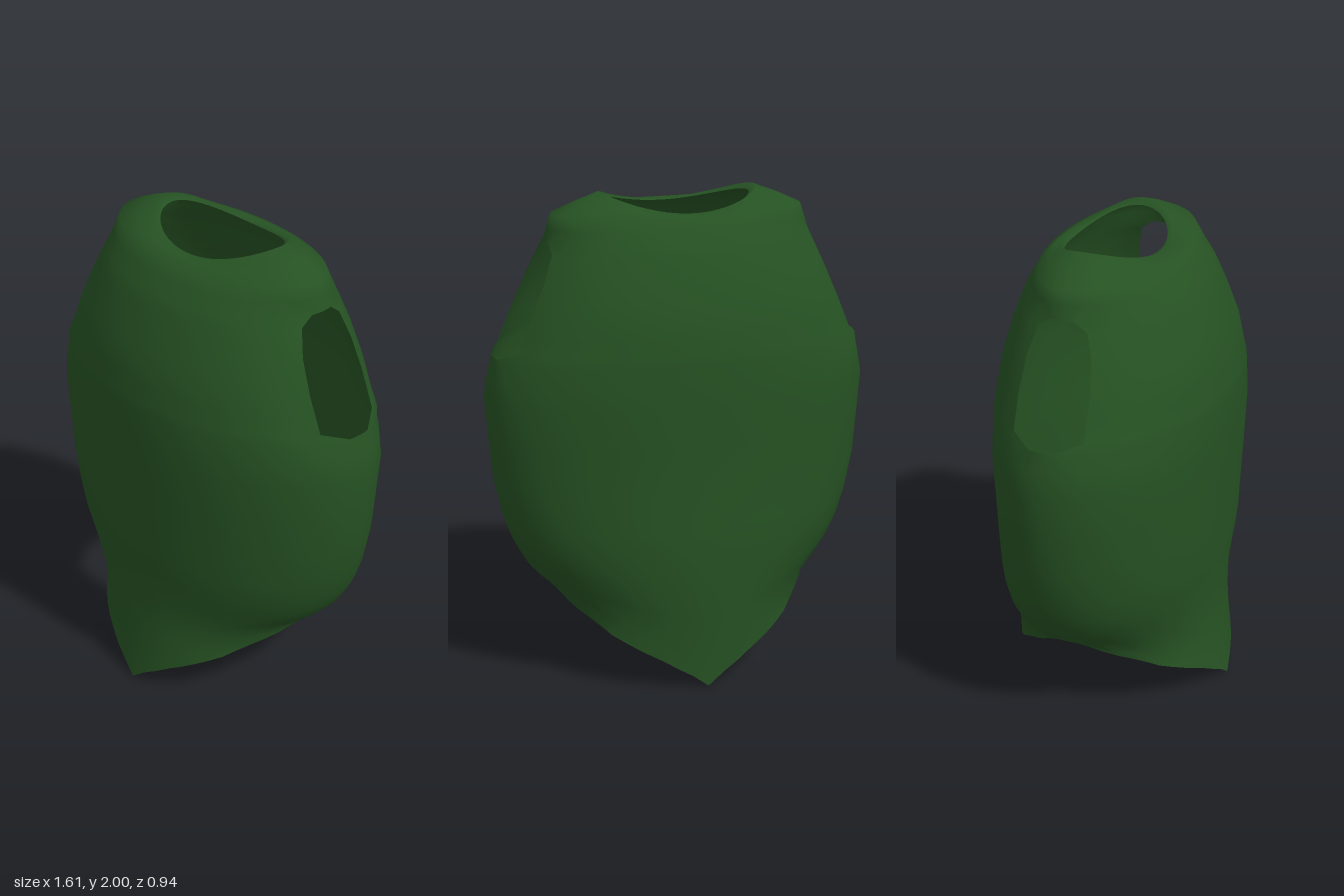
import * as THREE from 'three';

const MID_Z = -0.05; // depth of the side seams
const K = 14; // columns per quarter turn
const H = 3; // columns from the side seam to the armhole edge

// [height, half width, front depth, back depth] measured from the side seams
const body = [
  [0, 0.6, 0.52, 0.38], [0.13, 0.55, 0.5, 0.385], [0.28, 0.52, 0.485, 0.395], [0.39, 0.555, 0.475, 0.405],
  [0.47, 0.64, 0.47, 0.41], [0.58, 0.705, 0.485, 0.415], [0.7, 0.745, 0.495, 0.413], [0.86, 0.78, 0.498, 0.407],
  [1.03, 0.793, 0.505, 0.41], [1.2, 0.805, 0.51, 0.415], [1.375, 0.77, 0.505, 0.412], [1.41, 0.745, 0.5, 0.41],
  [1.55, 0.685, 0.477, 0.392], [1.68, 0.625, 0.43, 0.355], [1.78, 0.572, 0.388, 0.318],
  [1.815, 0.553, 0.368, 0.303], [1.92, 0.52, 0.29, 0.24],
];
// Hem height against the cosine of the angle from the side seam
const hem = [[0, 0], [0.09, 0.045], [0.34, 0.13], [0.72, 0.24], [0.82, 0.28], [0.94, 0.338], [1, 0.395]];
// Half width of the armhole against height
const armhole = [[1.3, 0.14], [1.375, 0.05], [1.41, 0.143], [1.55, 0.143], [1.68, 0.13], [1.78, 0.1], [1.815, 0.05], [1.87, 0.1]];
const ARM_LOW = 1.375, ARM_HIGH = 1.815;

// Linear look-up of column c in a table keyed by its first column
function look(table, key, c) {
  if (key <= table[0][0]) return table[0][c];
  for (let i = 1; i < table.length; i++) {
    const p = table[i - 1], q = table[i];
    if (key <= q[0]) return THREE.MathUtils.lerp(p[c], q[c], (key - p[0]) / (q[0] - p[0]));
  }
  return table[table.length - 1][c];
}

// Rows: hem to waist, then level rings, then the shoulder cap up to the neck
const rows = [];
for (const t of [0, 0.1, 0.25, 0.45, 0.7]) rows.push({ t });
for (const y of [0.6, 0.7, 0.86, 1.03, 1.2, 1.3, 1.375, 1.41, 1.48, 1.55, 1.62, 1.68, 1.74, 1.78, 1.815, 1.87, 1.92]) rows.push({ y });
rows.push({ ring: [0.425, 0.24, 0.215], base: 1.928, rise: 0.035 });
rows.push({ ring: [0.325, 0.205, 0.185], base: 1.928, rise: 0.072 });
rows.push({ ring: [0.295, 0.19, 0.175], base: 1.922, rise: 0.055 });

// Angle from the side seam; columns bend to follow the armhole edge
function columnAngle(step, y, depth, front) {
  const w = look(armhole, y, 1) * (front ? 1.07 : 0.93);
  const inHoleBand = y > 1.3 && y < 1.87;
  const edge = inHoleBand ? Math.asin(w / depth) : 0.31;
  return step <= H ? edge * step / H : edge + (Math.PI / 2 - edge) * (step - H) / (K - H);
}

function point(row, i) {
  const quarter = Math.floor(i / K), k = i % K;
  const step = quarter % 2 ? K - k : k;
  const sx = quarter === 0 || quarter === 3 ? 1 : -1;
  const front = quarter < 2;
  let y = row.y ?? 0.6, a, d, phi;
  if (row.ring) {
    a = row.ring[0];
    d = row.ring[front ? 1 : 2];
    phi = columnAngle(step, 2, d, front);
    y = row.base + row.rise * Math.cos(phi) ** 2;
  } else {
    phi = columnAngle(step, y, look(body, y, front ? 2 : 3), front);
    if (row.t !== undefined) y = THREE.MathUtils.lerp(look(hem, Math.cos(phi), 1), 0.6, row.t);
    a = look(body, y, 1);
    d = look(body, y, front ? 2 : 3);
  }
  return [sx * a * Math.cos(phi), y, MID_Z + (front ? 1 : -1) * d * Math.sin(phi)];
}

function vestGeometry() {
  const n = K * 4, positions = [], index = [];
  for (const row of rows) for (let i = 0; i < n; i++) positions.push(...point(row, i));
  for (let j = 0; j < rows.length - 1; j++) {
    const inBand = rows[j].y >= ARM_LOW && rows[j + 1].y <= ARM_HIGH;
    for (let i = 0; i < n; i++) {
      // Leave the two armholes open
      const c = i % (2 * K);
      if (inBand && (c < H || c >= 2 * K - H)) continue;
      const p = j * n + i, q = j * n + (i + 1) % n;
      index.push(p, p + n, q + n, p, q + n, q);
    }
  }
  const geometry = new THREE.BufferGeometry();
  geometry.setAttribute('position', new THREE.Float32BufferAttribute(positions, 3));
  geometry.setIndex(index);
  geometry.computeVertexNormals();
  return geometry;
}

export function createModel() {
  const group = new THREE.Group();
  group.name = 'sleevelessVest';
  const cloth = new THREE.MeshStandardMaterial({ color: 0x265223, side: THREE.DoubleSide });
  const vest = new THREE.Mesh(vestGeometry(), cloth);
  vest.name = 'vestShell';
  group.add(vest);
  return group;
}
